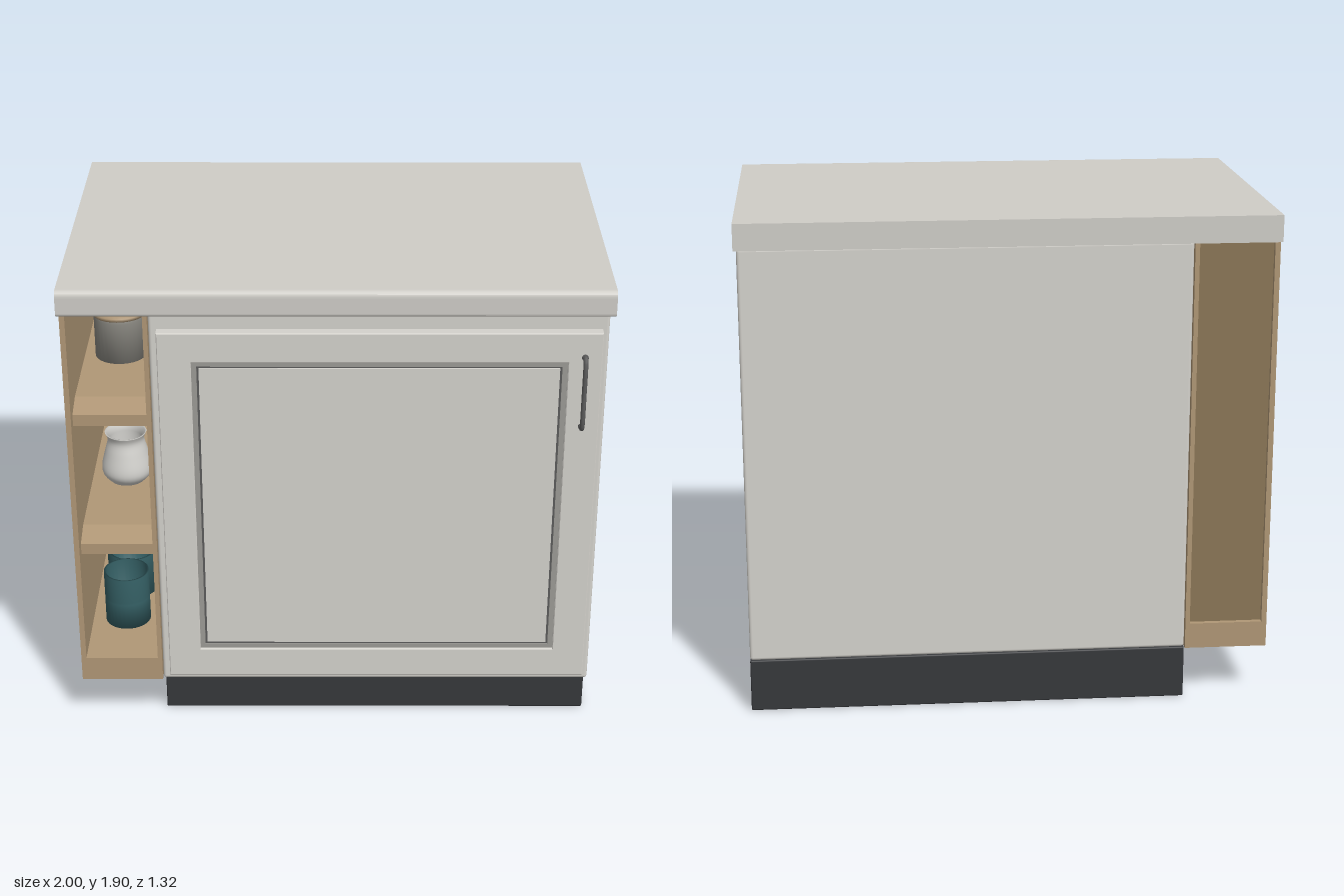
import * as THREE from 'three';
import { RoundedBoxGeometry } from 'three/addons/geometries/RoundedBoxGeometry.js';

const mat = (color, extra = {}) => new THREE.MeshStandardMaterial({ color, ...extra });

export function createModel() {
  const root = new THREE.Group();
  const paint = mat(0xd4d2cc), stone = mat(0xcfcdc7), groove = mat(0x9c9b96);
  const wood = mat(0xb09776), kick = mat(0x36383b), metal = mat(0x5c5c5c);

  const add = (name, geometry, material, parent = root) => {
    const mesh = new THREE.Mesh(geometry, material);
    mesh.name = name;
    parent.add(mesh);
    return mesh;
  };
  // Box given by its limits, with optional rounded edges
  const box = (name, [x0, x1], [y0, y1], [z0, z1], material, r = 0, parent = root) => {
    const s = [x1 - x0, y1 - y0, z1 - z0];
    const g = r ? new RoundedBoxGeometry(...s, 3, r) : new THREE.BoxGeometry(...s);
    g.translate((x0 + x1) / 2, (y0 + y1) / 2, (z0 + z1) / 2);
    return add(name, g, material, parent);
  };
  // Side profile (z, y) extruded along x
  const alongX = (shape, x0, x1) => new THREE.ExtrudeGeometry(shape, { depth: x1 - x0, bevelEnabled: false, curveSegments: 6 })
    .rotateY(-Math.PI / 2).translate(x1, 0, 0);
  const rect = (Type, x0, x1, y0, y1) => new Type([[x0, y0], [x1, y0], [x1, y1], [x0, y1]].map(p => new THREE.Vector2(...p)));

  // Countertop with softened front edge
  const top = new THREE.Shape();
  top.moveTo(-0.66, 1.8);
  top.lineTo(0.64, 1.8);
  top.quadraticCurveTo(0.66, 1.8, 0.66, 1.815);
  top.lineTo(0.66, 1.875);
  top.quadraticCurveTo(0.66, 1.9, 0.635, 1.9);
  top.lineTo(-0.66, 1.9);
  add('countertop', alongX(top, -1, 1), stone);

  // Cabinet carcass and plinth
  box('cabinetBody', [-0.68, 0.99], [0.205, 1.8], [-0.62, 0.58], paint, 0.012);
  box('toeKick', [-0.68, 0.99], [0, 0.205], [-0.62, 0.48], kick, 0.006);

  // Door: outer frame, moulding around the opening, recessed centre panel
  const door = new THREE.Group();
  door.name = 'door';
  root.add(door);
  const frame = rect(THREE.Shape, -0.647, 0.962, 0.248, 1.717);
  frame.holes.push(rect(THREE.Path, -0.53, 0.845, 0.365, 1.605));
  add('doorFrame', new THREE.ExtrudeGeometry(frame, {
    depth: 0.037, bevelThickness: 0.003, bevelSize: 0.003, bevelSegments: 1,
  }).translate(0, 0, 0.58), paint, door);
  const bead = (name, x0, x1, y0, y1, w, z, material) => {
    const s = rect(THREE.Shape, x0, x1, y0, y1);
    s.holes.push(rect(THREE.Path, x0 + w, x1 - w, y0 + w, y1 - w));
    add(name, new THREE.ExtrudeGeometry(s, { depth: z - 0.58, bevelEnabled: false }).translate(0, 0, 0.58), material, door);
  };
  bead('outerMoulding', -0.53, 0.845, 0.365, 1.605, 0.022, 0.61, groove);
  bead('innerMoulding', -0.508, 0.823, 0.387, 1.583, 0.008, 0.605, metal);
  box('doorPanel', [-0.5, 0.815], [0.395, 1.575], [0.58, 0.61], paint, 0, door);

  // Bow handle with mounting collars
  const handle = new THREE.Group();
  handle.name = 'handle';
  root.add(handle);
  const bow = new THREE.CatmullRomCurve3([[1.625, 0.615], [1.625, 0.64], [1.6, 0.65], [1.485, 0.651],
    [1.37, 0.65], [1.345, 0.64], [1.345, 0.615]].map(([y, z]) => new THREE.Vector3(0.902, y, z)));
  add('handleBar', new THREE.TubeGeometry(bow, 40, 0.009, 10), metal, handle);
  for (const y of [1.345, 1.625]) {
    add('handleCollar', new THREE.CylinderGeometry(0.012, 0.012, 0.012, 16).rotateX(Math.PI / 2).translate(0.902, y, 0.622), metal, handle);
  }

  // Open shelf unit
  const unit = new THREE.Group();
  unit.name = 'shelfUnit';
  root.add(unit);
  box('outerSide', [-1, -0.98], [0.2, 1.8], [-0.62, 0.58], wood, 0, unit);
  box('innerSide', [-0.7, -0.683], [0.2, 1.8], [-0.62, 0.58], wood, 0, unit);
  box('unitBase', [-0.98, -0.7], [0.2, 0.3], [-0.62, 0.58], wood, 0, unit);
  box('backPanel', [-0.98, -0.7], [0.3, 1.8], [-0.6, -0.58], mat(0x8a7656), 0, unit);
  for (const y of [0.745, 1.3]) {
    // Shelf with sloped front lip
    const s = new THREE.Shape([[-0.58, 0], [0.53, 0], [0.53, 0.045], [0.43, 0.073], [-0.58, 0.073]]
      .map(([z, h]) => new THREE.Vector2(z, y + h)));
    add('shelf', alongX(s, -0.98, -0.7), wood, unit);
  }

  // Turned vessels on the shelves
  const turned = (name, points, z, material, y) => {
    const g = new THREE.LatheGeometry(points.map(p => new THREE.Vector2(...p)), 32);
    add(name, g, material).position.set(-0.84, y, z);
  };
  const glass = mat(0x8b8982, { side: THREE.DoubleSide });
  const ceramic = mat(0xd0cfcb, { side: THREE.DoubleSide });
  const teal = mat(0x356065, { side: THREE.DoubleSide });
  turned('jar', [[0, 0], [0.1, 0], [0.1, 0.165], [0.095, 0.18]], 0.05, glass, 1.373);
  turned('jarLid', [[0, 0.178], [0.106, 0.178], [0.106, 0.19], [0.095, 0.2], [0.03, 0.2], [0.03, 0.212], [0, 0.212]], 0.05, wood, 1.373);
  const vase = new THREE.SplineCurve([[0.07, 0], [0.095, 0.03], [0.1, 0.065], [0.085, 0.13], [0.073, 0.18], [0.083, 0.212]]
    .map(p => new THREE.Vector2(...p))).getPoints(24).map(p => [p.x, p.y]);
  turned('vase', [[0, 0], ...vase, [0.076, 0.21], [0.065, 0.18], [0.075, 0.13], [0.06, 0.02], [0, 0.02]], 0.05, ceramic, 0.818);
  turned('frontTin', [[0, 0], [0.09, 0], [0.09, 0.108], [0.087, 0.112], [0.09, 0.116], [0.09, 0.222], [0.082, 0.222], [0.082, 0.02], [0, 0.02]], 0.28, teal, 0.3);
  turned('rearTin', [[0, 0], [0.1, 0], [0.1, 0.18], [0.09, 0.18], [0.09, 0.02], [0, 0.02]], 0.04, teal, 0.3);
  return root;
}
